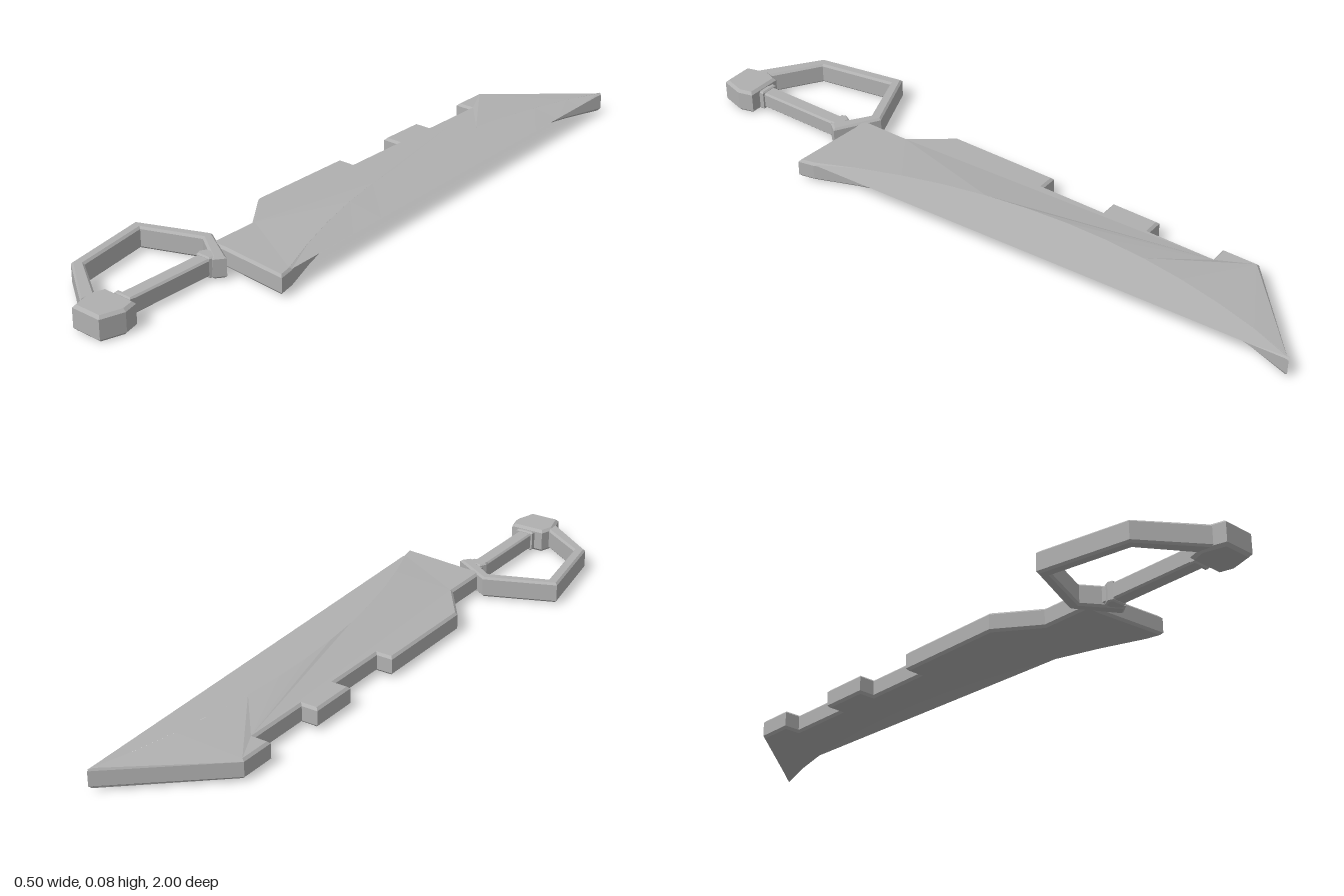
import * as THREE from 'three';

export function createModel() {
  const model = new THREE.Group();
  const steel = new THREE.MeshStandardMaterial({ color: 0xb0b0b0 });
  steel.name = 'grey steel';
  steel.side = THREE.DoubleSide;

  // Chamfered plate from an [x, z] outline, between heights y0 and y1
  function plate(name, outline, y0, y1, bevel) {
    const shape = new THREE.Shape(outline.map(([x, z]) => new THREE.Vector2(x, -z)));
    const geo = new THREE.ExtrudeGeometry(shape, {
      depth: y1 - y0 - 2 * bevel,
      bevelThickness: bevel,
      bevelSize: bevel,
      bevelOffset: -bevel,
      bevelSegments: 1,
    });
    geo.rotateX(-Math.PI / 2);
    geo.translate(0, y0 + bevel, 0);
    const mesh = new THREE.Mesh(geo, steel);
    mesh.name = name;
    model.add(mesh);
    return mesh;
  }

  const rect = (x0, x1, z0, z1) => [[x0, z0], [x1, z0], [x1, z1], [x0, z1]];

  // Cutting edge: hollow curve between the tip and the heel of the blade
  const tip = [0.18, -1], heel = [0.24, 0.5];
  const top = 0.065, rise = 0.017, hollow = 0.14;
  const edge = [];
  const steps = 12;
  for (let i = 0; i <= steps; i++) {
    const t = i / steps;
    const k = 4 * t * (1 - t);
    edge.push({
      x: tip[0] + (heel[0] - tip[0]) * t - hollow * k,
      z: tip[1] + (heel[1] - tip[1]) * t,
      chordX: tip[0] + (heel[0] - tip[0]) * t,
      y: top + rise * k,
    });
  }

  // Blade with a notched spine
  const blade = plate('blade', [
    [-0.02, 0.53], [-0.02, 0.37], [-0.11, 0.25],
    [-0.11, -0.09], [-0.06, -0.09], [-0.06, -0.29], [-0.11, -0.29],
    [-0.11, -0.44], [-0.06, -0.44], [-0.06, -0.64], [-0.11, -0.64],
    [-0.11, -0.75],
    ...edge.map((p) => [p.x, p.z]),
    [0.25, 0.548], [0.03, 0.53],
  ], 0.008, top, 0.007);

  // Lift the upper rim along the hollow edge
  const pos = blade.geometry.attributes.position;
  for (let i = 0; i < pos.count; i++) {
    const z = pos.getZ(i);
    const t = (z - tip[1]) / (heel[1] - tip[1]);
    if (pos.getX(i) > 0.045 && t > 0 && t < 1 && pos.getY(i) > 0.04) {
      pos.setY(i, pos.getY(i) + rise * 4 * t * (1 - t));
    }
  }
  blade.geometry.computeVertexNormals();

  // Thin sheet from the raised rim out to the straight cutting line
  const verts = [];
  for (let i = 0; i < steps; i++) {
    const a = edge[i], b = edge[i + 1];
    const a0 = [a.x - 0.007, a.y, a.z], b0 = [b.x - 0.007, b.y, b.z];
    const a1 = [a.chordX, top - 0.003, a.z], b1 = [b.chordX, top - 0.003, b.z];
    verts.push(...a0, ...b0, ...b1, ...a0, ...b1, ...a1);
  }
  const sheetGeo = new THREE.BufferGeometry();
  sheetGeo.setAttribute('position', new THREE.Float32BufferAttribute(verts, 3));
  sheetGeo.computeVertexNormals();
  const sheet = new THREE.Mesh(sheetGeo, steel);
  sheet.name = 'cuttingEdge';
  model.add(sheet);

  // Angular knuckle guard
  plate('handGuard', [
    [0.075, 0.565], [-0.05, 0.49], [-0.255, 0.575], [-0.205, 0.845], [-0.035, 0.965],
    [-0.03, 0.92], [-0.175, 0.825], [-0.217, 0.592], [-0.05, 0.526], [0.053, 0.595],
  ], 0.005, 0.068, 0.006);

  // Grip with a collar at each end
  plate('grip', rect(0, 0.045, 0.56, 0.9), 0.012, 0.062, 0.005);
  plate('frontCollar', rect(-0.006, 0.051, 0.865, 0.88), 0.007, 0.067, 0.004);
  plate('rearCollar', [
    [-0.006, 0.585], [0.005, 0.565], [0.04, 0.565], [0.051, 0.585], [0.045, 0.6], [0, 0.6],
  ], 0.007, 0.067, 0.004);

  // Pommel
  plate('pommel', [
    [-0.03, 0.885], [0.078, 0.885], [0.09, 0.93], [0.07, 1], [-0.026, 1], [-0.045, 0.93],
  ], 0, 0.072, 0.008);

  return model;
}
